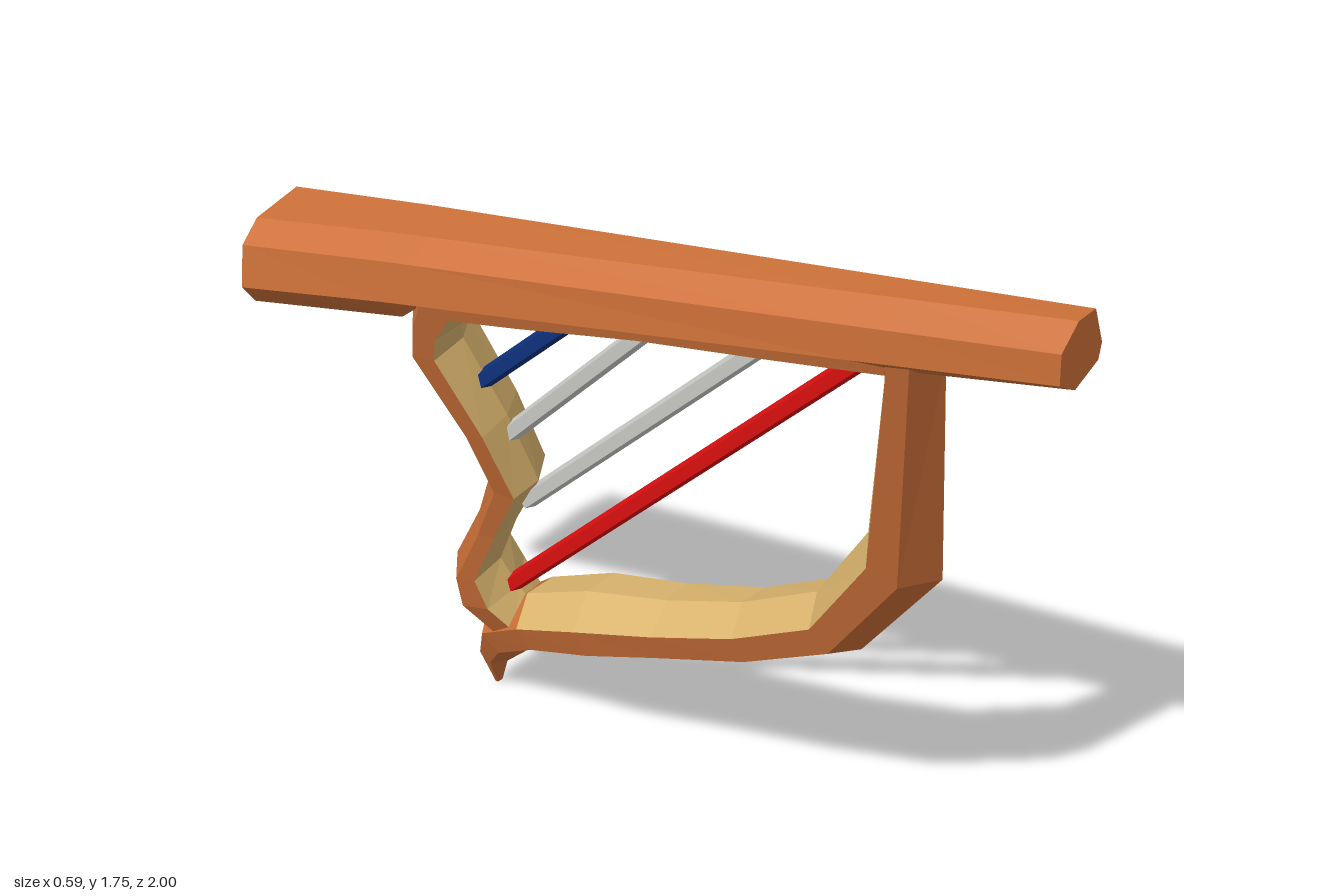
import * as THREE from 'three';

const mat = (name, color) => {
  const m = new THREE.MeshStandardMaterial({ color });
  m.name = name;
  return m;
};

// The harp leans: its middle plane gives x for any (z, y)
const planeX = (z, y) => 0.349 - 0.327 * y + 0.119 * z;
const onPlane = ([z, y]) => new THREE.Vector3(planeX(z, y), y, z);
const normal = new THREE.Vector3(1, 0.327, -0.119).normalize();

// Faceted skin over rings of points; isInner(ring, side) picks the second material
function loft(rings, isInner = () => false) {
  const lists = [[], []];
  const n = rings[0].length;
  for (let i = 0; i < rings.length - 1; i++) {
    for (let j = 0; j < n; j++) {
      const k = (j + 1) % n;
      const [a, b, c, d] = [rings[i][j], rings[i][k], rings[i + 1][k], rings[i + 1][j]];
      lists[isInner(i, j) ? 1 : 0].push(a, b, c, a, c, d);
    }
  }
  const first = rings[0], last = rings[rings.length - 1];
  for (let j = 1; j < n - 1; j++) {
    lists[0].push(first[0], first[j + 1], first[j], last[0], last[j], last[j + 1]);
  }
  const geo = new THREE.BufferGeometry().setFromPoints([...lists[0], ...lists[1]]);
  geo.addGroup(0, lists[0].length, 0);
  geo.addGroup(lists[0].length, lists[1].length, 1);
  geo.computeVertexNormals();
  return geo;
}

// Six-sided section with a ridge on the inner and outer edge
function frameRing([outer, inner, w]) {
  const o = onPlane(outer), i = onPlane(inner);
  const at = (t, s) => i.clone().lerp(o, t).addScaledVector(normal, s * w);
  return [at(0, 0), at(0.2, 1), at(0.62, 1), at(1, 0), at(0.62, -1), at(0.2, -1)];
}

export function createModel() {
  const wood = mat('wood', 0xcc7038);
  const paleWood = mat('paleWood', 0xdbb56e);
  const red = mat('redString', 0xe01010);
  const grey = mat('greyString', 0xcfcfcb);
  const blue = mat('blueString', 0x0f3380);
  const group = new THREE.Group();
  const add = (name, geo, material) => {
    const mesh = new THREE.Mesh(geo, material);
    mesh.name = name;
    group.add(mesh);
  };

  // Top beam: seven-sided, widening to the back, hollowed under its middle
  const front = [[-0.157, 1.64], [-0.157, 1.71], [-0.1, 1.757], [-0.04, 1.757],
    [-0.01, 1.67], [-0.02, 1.635], [-0.1, 1.605]];
  const back = [[-0.31, 1.255], [-0.3, 1.355], [-0.25, 1.4], [-0.12, 1.42],
    [-0.078, 1.25], [-0.14, 1.18], [-0.24, 1.18]];
  const beamRings = [1, 0.62, 0.54, -0.52, -0.6, -1].map((z) => {
    const t = (1 - z) / 2;
    const lift = Math.abs(z) < 0.58 ? 0.05 : 0;
    return front.map(([x, y], j) => new THREE.Vector3(
      THREE.MathUtils.lerp(x, back[j][0], t),
      THREE.MathUtils.lerp(y, back[j][1], t) + (j > 4 ? lift : 0),
      z + (z === -1 && j < 4 ? 0.03 : 0)));
  });
  add('topBeam', loft(beamRings), [wood, paleWood]);

  // Front column, curved bowl and pointed tail: [outer z,y], [inner z,y], half width
  const bowl = [
    [[0.7, 1.6], [0.57, 1.57], 0.07],
    [[0.69, 1.55], [0.56, 1.52], 0.07],
    [[0.57, 0.88], [0.41, 0.96], 0.08],
    [[0.32, 0.56], [0.24, 0.71], 0.08],
    [[0.07, 0.43], [0.03, 0.59], 0.08],
    [[-0.2, 0.34], [-0.18, 0.51], 0.085],
    [[-0.36, 0.28], [-0.4, 0.45], 0.095],
    [[-0.52, 0.23], [-0.58, 0.37], 0.085],
    [[-0.64, 0.15], [-0.71, 0.28], 0.065],
    [[-0.71, 0.085], [-0.755, 0.16], 0.04],
    [[-0.745, 0.006], [-0.76, 0.008], 0.012],
  ];
  add('columnAndBowl', loft(bowl.map(frameRing), (i, j) => i < 7 && (j === 0 || j === 5)),
    [wood, paleWood]);

  // Back pillar, turning forward into the lining under the beam
  const pillar = [
    [[-0.71, 0.26], [-0.56, 0.32], 0.07],
    [[-0.77, 0.35], [-0.6, 0.39], 0.085],
    [[-0.75, 0.44], [-0.625, 0.47], 0.08],
    [[-0.64, 0.62], [-0.54, 0.63], 0.07],
    [[-0.56, 0.79], [-0.44, 0.79], 0.07],
    [[-0.58, 0.95], [-0.47, 0.98], 0.075],
    [[-0.66, 1.17], [-0.525, 1.19], 0.08],
    [[-0.62, 1.3], [-0.51, 1.24], 0.08],
    [[-0.58, 1.42], [-0.45, 1.305], 0.08],
    [[-0.3, 1.45], [-0.3, 1.345], 0.08],
    [[0, 1.5], [0, 1.415], 0.075],
    [[0.3, 1.55], [0.3, 1.465], 0.07],
    [[0.6, 1.6], [0.58, 1.515], 0.065],
  ];
  add('backPillar', loft(pillar.map(frameRing), (i, j) => j === 0 || j === 5),
    [wood, paleWood]);

  // Strings stretched from the beam to the pillar
  const strings = [
    ['redString', [0.54, 1.53], [-0.62, 0.385], red],
    ['longGreyString', [0.31, 1.49], [-0.49, 0.71], grey],
    ['shortGreyString', [0.03, 1.44], [-0.49, 0.91], grey],
    ['blueString', [-0.17, 1.39], [-0.52, 1.06], blue],
  ];
  for (const [name, from, to, material] of strings) {
    const path = new THREE.LineCurve3(onPlane(from), onPlane(to));
    const geo = new THREE.TubeGeometry(path, 1, 0.023, 5).toNonIndexed();
    geo.computeVertexNormals();
    add(name, geo, material);
  }
  return group;
}
